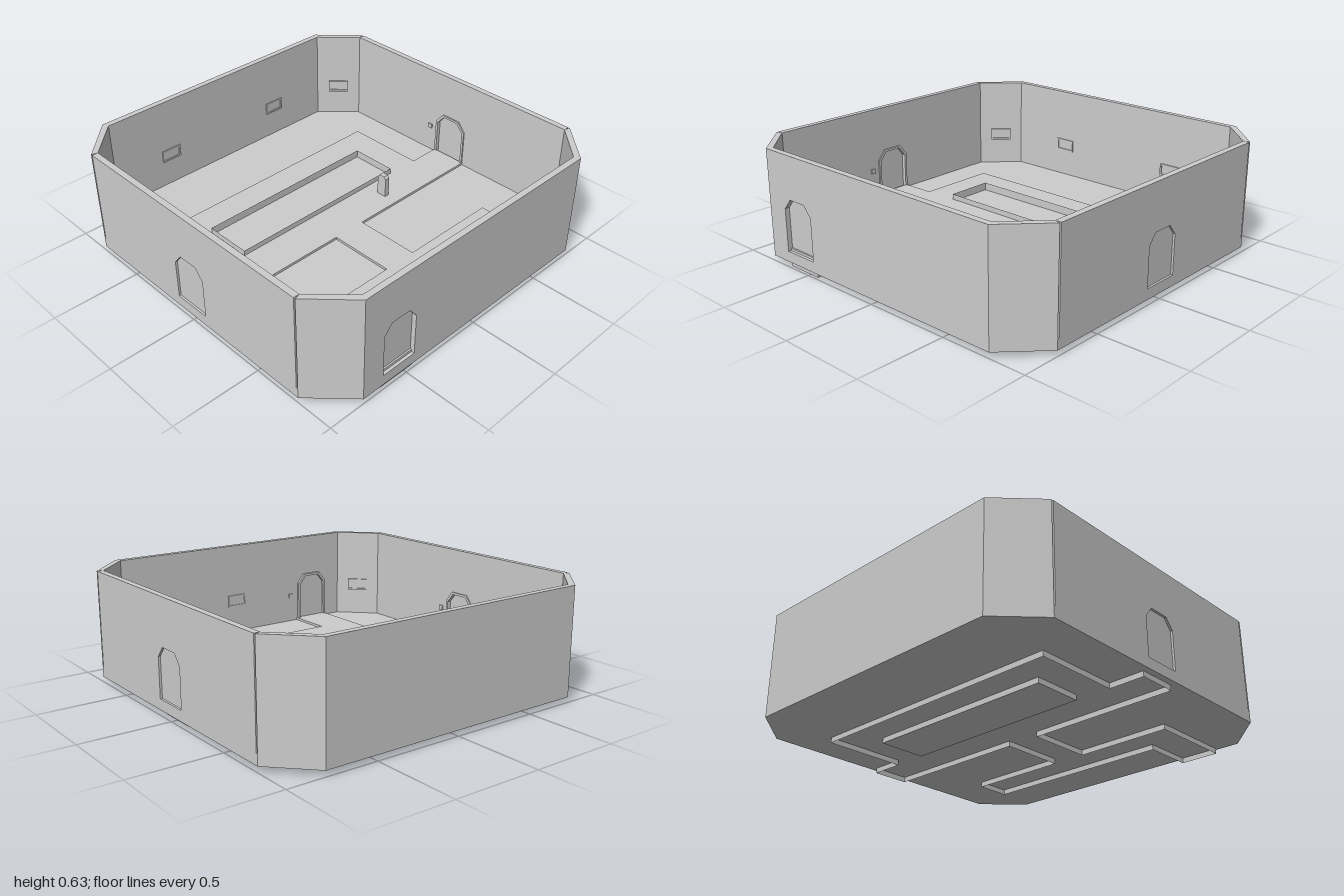
import * as THREE from 'three';

export function createModel() {
  const model = new THREE.Group();
  model.name = 'walledRoom';
  const stone = new THREE.MeshStandardMaterial({ color: 0xcccccc, side: THREE.DoubleSide });
  stone.name = 'grey stone';

  const FLOOR = 0.09, PATH = 0.104, TOP = 0.63, INNER = 0.965, THICK = 0.035;

  const add = (parent, name, geometry) => {
    const mesh = new THREE.Mesh(geometry, stone);
    mesh.name = name;
    parent.add(mesh);
    return mesh;
  };
  const shapeOf = (pts) => new THREE.Shape(pts.map(([x, y]) => new THREE.Vector2(x, y)));
  const extrude = (shape, depth, z = 0) =>
    new THREE.ExtrudeGeometry(shape, { depth, bevelEnabled: false }).translate(0, 0, z);
  // Horizontal slab from a plan outline given as [x, z]
  const slab = (pts, y0, y1, hole) => {
    const flip = (list) => list.map(([x, z]) => [x, -z]);
    const shape = shapeOf(flip(pts));
    if (hole) shape.holes.push(shapeOf(flip(hole)));
    return extrude(shape, y1 - y0).rotateX(-Math.PI / 2).translate(0, y0, 0);
  };
  // Thin upright strip that follows a closed plan outline
  const curtain = (pts, y0, y1) => {
    const corners = [], index = [];
    pts.forEach(([x, z], i) => {
      const [u, w] = pts[(i + 1) % pts.length];
      corners.push(x, y0, z, x, y1, z, u, y1, w, u, y0, w);
      const k = i * 4;
      index.push(k, k + 1, k + 2, k, k + 2, k + 3);
    });
    const geometry = new THREE.BufferGeometry();
    geometry.setAttribute('position', new THREE.Float32BufferAttribute(corners, 3));
    geometry.setIndex(index);
    geometry.computeVertexNormals();
    return geometry;
  };

  // Octagonal floor
  add(model, 'floor', slab([
    [-1, 0.79], [-0.785, 1], [0.785, 1], [1, 0.79],
    [1, -0.79], [0.785, -1], [-0.785, -1], [-1, -0.79],
  ], 0.03, FLOOR));

  // Raised walkway that links the three doors and loops around the basin
  const path = [
    [-0.11, -0.965], [-0.11, -0.77], [-0.59, -0.77], [-0.59, 0.765], [-0.11, 0.765], [-0.11, 0.965],
    [0.11, 0.965], [0.11, 0.1], [0.49, 0.1], [0.49, 0.66], [0.983, 0.66], [0.983, 0.44],
    [0.69, 0.44], [0.69, -0.69], [0.49, -0.69], [0.49, -0.1], [0.11, -0.1], [0.11, -0.965],
  ];
  const basin = [[-0.395, -0.57], [-0.115, -0.57], [-0.115, 0.562], [-0.395, 0.562]];
  add(model, 'walkway', slab(path, 0.06, PATH, basin));
  add(model, 'walkwaySkirt', curtain(path, 0, 0.06));

  // Basin with a thin rim, and its underside below the floor
  add(model, 'basinRim', curtain(basin, FLOOR, 0.136));
  add(model, 'basinBase', slab(basin, 0, 0.05));

  // Small post with a chamfered top
  const post = add(model, 'post', extrude(shapeOf([
    [-0.03, 0.1], [0.03, 0.1], [0.03, 0.22], [0.018, 0.235], [-0.018, 0.235], [-0.03, 0.22],
  ]), 0.03, -0.015));
  post.position.z = -0.385;

  // Door outline with cut upper corners, drawn inset by t
  const arch = ({ x, half, top }, t = 0) => {
    const h = half - t, y = top - t, c = 0.048 - t * 0.4;
    return [
      [x - h, FLOOR], [x - h, y - c - 0.01], [x - h + c, y],
      [x + h - c, y], [x + h, y - c - 0.01], [x + h, FLOOR],
    ];
  };
  const addDoor = (parent, door) => {
    const { recess, proud } = door;
    const panelFront = 1 - recess;
    add(parent, 'door', extrude(shapeOf(arch(door)), 0.008, panelFront - 0.008));
    // Frame that stands slightly into the room
    const frame = shapeOf([...arch(door), ...arch(door, 0.014).reverse()]);
    add(parent, 'doorFrame', extrude(frame, panelFront - 0.004 - INNER + proud, INNER - proud));
  };

  // Framed plaque on the inner face at local x
  const addPlaque = (parent, x, inner, proud) => {
    const w = 0.062, h = 0.036, y = 0.285;
    const rect = (a, b) => [[x - a, y - b], [x + a, y - b], [x + a, y + b], [x - a, y + b]];
    const frame = shapeOf(rect(w, h));
    frame.holes.push(shapeOf(rect(w - 0.01, h - 0.01)));
    add(parent, 'plaqueFrame', extrude(frame, proud + 0.001, inner - proud));
    add(parent, 'plaquePanel', extrude(shapeOf(rect(w - 0.01, h - 0.01)), 0.003, inner - 0.002));
  };

  // Straight walls: local +z faces outward, local x runs along the wall
  const endDoor = { x: 0, half: 0.108, top: 0.37, recess: 0.012, proud: 0.008 };
  const sideDoor = { x: -0.555, half: 0.106, top: 0.388, recess: 0.026, proud: 0.015 };
  const walls = [
    { name: 'frontSide', angle: 0, half: 0.775, door: endDoor, button: 0.155 },
    { name: 'backSide', angle: Math.PI, half: 0.775, door: endDoor, button: 0.155 },
    { name: 'leftSide', angle: Math.PI / 2, half: 0.79, door: sideDoor, button: -0.395, plaques: [0.01] },
    { name: 'rightSide', angle: -Math.PI / 2, half: 0.79, plaques: [-0.395, 0.395] },
  ];
  for (const { name, angle, half, door, button, plaques = [] } of walls) {
    const side = new THREE.Group();
    side.name = name;
    side.rotation.y = angle;
    model.add(side);
    const notch = door ? arch(door) : [];
    const outline = [[-half, FLOOR], ...notch, [half, FLOOR], [half, TOP], [-half, TOP]];
    add(side, 'wall', extrude(shapeOf(outline), THICK, INNER));
    if (door) {
      addDoor(side, door);
      add(side, 'doorButton', new THREE.BoxGeometry(0.028, 0.028, 0.009))
        .position.set(button, 0.255, INNER - 0.003);
    }
    plaques.forEach((x) => addPlaque(side, x, INNER, 0.008));
  }

  // Chamfered corner walls, each with a plaque
  const plan = [[1, 0.79], [0.785, 1], [0.775, 0.965], [0.965, 0.775]];
  for (let i = 0; i < 4; i++) {
    const corner = new THREE.Group();
    corner.name = 'corner';
    corner.rotation.y = i * Math.PI / 2;
    model.add(corner);
    // Mirror the plan on odd corners so the narrow ends meet the same walls
    add(corner, 'cornerWall', slab(i % 2 ? plan.map(([x, z]) => [z, x]) : plan, FLOOR, TOP));
    const mount = new THREE.Group();
    mount.name = 'cornerPlaque';
    mount.rotation.y = Math.PI / 4;
    corner.add(mount);
    addPlaque(mount, 0, 1.74 / Math.SQRT2, 0.012);
  }
  return model;
}
